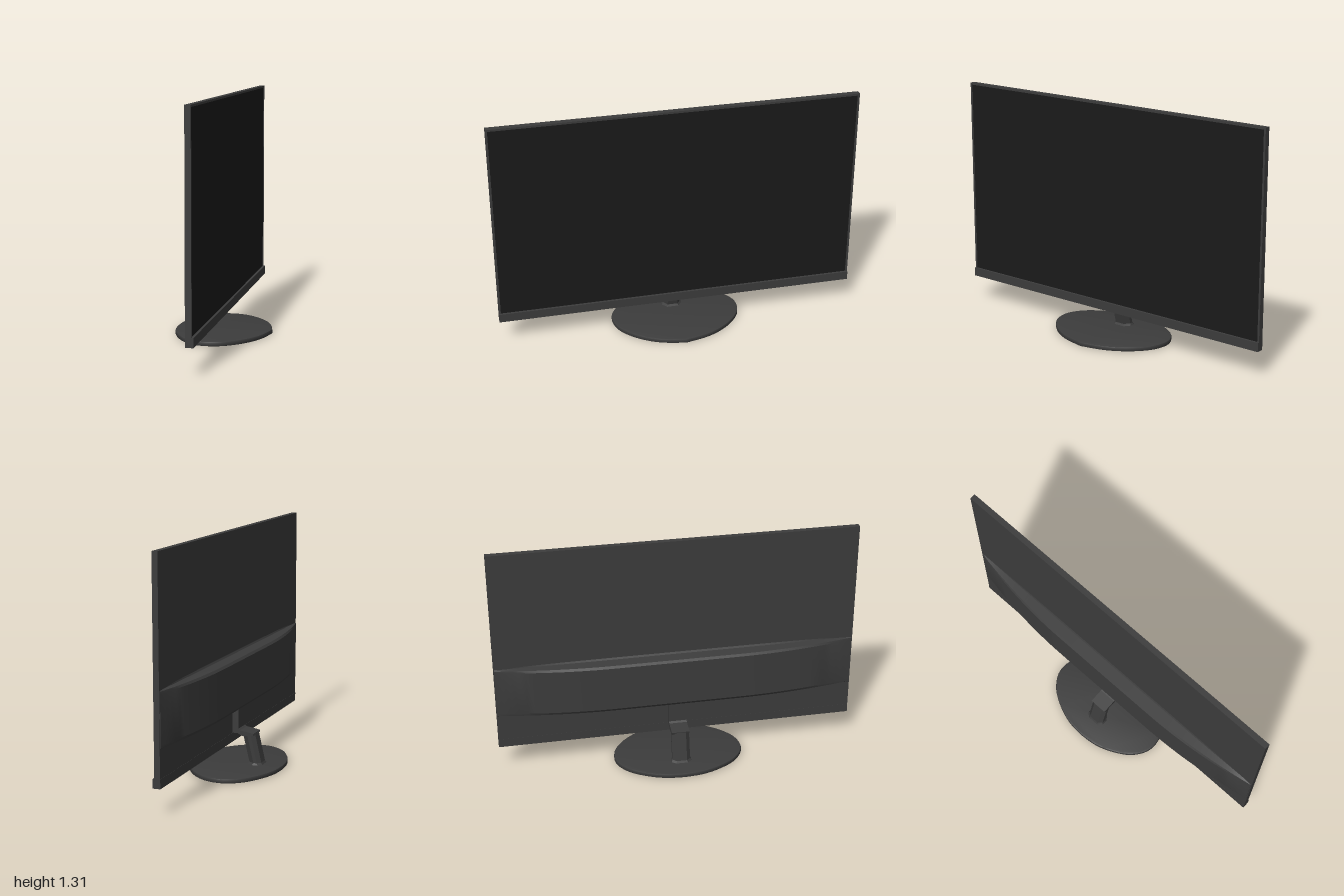
import * as THREE from 'three';
import { toCreasedNormals } from 'three/addons/utils/BufferGeometryUtils.js';

const body = new THREE.MeshStandardMaterial({ color: 0x3c3c3c });
const dark = new THREE.MeshStandardMaterial({ color: 0x1a1a1a });

function part(group, name, geometry, material = body) {
  const mesh = new THREE.Mesh(geometry, material);
  mesh.name = name;
  group.add(mesh);
  return mesh;
}

// Box given by its minimum and maximum corners
function box(x0, y0, z0, x1, y1, z1) {
  return new THREE.BoxGeometry(x1 - x0, y1 - y0, z1 - z0)
    .translate((x0 + x1) / 2, (y0 + y1) / 2, (z0 + z1) / 2);
}

// Skin a row of closed convex rings and cap both ends
function loft(rings, crease) {
  const pos = [];
  const tri = (a, b, c) => pos.push(...a, ...b, ...c);
  const n = rings[0].length;
  for (let i = 0; i < rings.length - 1; i++) {
    for (let j = 0; j < n; j++) {
      const k = (j + 1) % n;
      const [a, b, c, d] = [rings[i][j], rings[i][k], rings[i + 1][k], rings[i + 1][j]];
      tri(a, b, c);
      tri(a, c, d);
    }
  }
  const first = rings[0], last = rings[rings.length - 1];
  for (let j = 1; j < n - 1; j++) {
    tri(first[0], first[j + 1], first[j]);
    tri(last[0], last[j], last[j + 1]);
  }
  const geometry = new THREE.BufferGeometry();
  geometry.setAttribute('position', new THREE.Float32BufferAttribute(pos, 3));
  geometry.computeVertexNormals();
  return toCreasedNormals(geometry, crease);
}

// Rear housing: bulges in the middle and thins out towards both ends
function housingGeometry() {
  const section = [[0, 0.65], [0.1, 0.637], [0.87, 0.632], [1, 0.62],
    [1, 0.365], [0.87, 0.35], [0.15, 0.345], [0, 0.335]];
  const rings = [];
  const steps = 48;
  for (let i = 0; i <= steps; i++) {
    const z = -0.995 + 1.99 * i / steps;
    const u = Math.max(0, (Math.abs(z) - 0.33) / 0.67);
    const depth = 0.004 + 0.073 * (1 - u * u);
    rings.push(section.map(([k, y]) => [0.012 - depth * k, y, z]));
  }
  return loft(rings, 0.35);
}

// Leaning leg with chamfered corners and a flared foot
function legGeometry() {
  const ring = (y, xb, xf, hw) => {
    const c = hw * 0.58;
    return [[-c, xb], [c, xb], [hw, xb + 0.02], [hw, xf - 0.032],
      [c, xf], [-c, xf], [-hw, xf - 0.032], [-hw, xb + 0.02]].map(([z, x]) => [x, y, z]);
  };
  return loft([
    ring(0.02, -0.162, -0.072, 0.06),
    ring(0.036, -0.152, -0.082, 0.05),
    ring(0.197, -0.115, -0.043, 0.05),
  ], 0.3);
}

// Neck plate and the short arm that reaches back to the leg
function neckGeometry() {
  const shape = new THREE.Shape([[0.012, 0.36], [-0.025, 0.36], [-0.025, 0.222],
    [-0.035, 0.214], [-0.115, 0.201], [-0.112, 0.188], [-0.045, 0.184],
    [-0.022, 0.196], [0.012, 0.197]].map(([x, y]) => new THREE.Vector2(x, y)));
  return new THREE.ExtrudeGeometry(shape, { depth: 0.1, bevelEnabled: false })
    .translate(0, 0, -0.05);
}

// Oval foot plate, slightly pointed at the front
function baseGeometry() {
  const half = [[0.26, 0], [0.232, 0.12], [0.195, 0.2], [0.125, 0.288], [0.04, 0.345],
    [-0.06, 0.354], [-0.15, 0.3], [-0.215, 0.2], [-0.25, 0.1], [-0.26, 0]];
  const upper = new THREE.CatmullRomCurve3(half.map(([x, y]) => new THREE.Vector3(x, y, 0)))
    .getPoints(40).map(p => new THREE.Vector2(p.x, p.y));
  const lower = upper.slice(1, -1).reverse().map(p => new THREE.Vector2(p.x, -p.y));
  const geometry = new THREE.ExtrudeGeometry(new THREE.Shape([...upper, ...lower]), {
    depth: 0.013, bevelThickness: 0.006, bevelSize: 0.006, bevelSegments: 2,
  });
  geometry.rotateX(-Math.PI / 2).translate(0, 0.006, 0);
  return toCreasedNormals(geometry, 0.6);
}

export function createModel() {
  const model = new THREE.Group();
  model.name = 'monitor';

  // Display panel with thin frame
  const display = new THREE.Group();
  display.name = 'display';
  model.add(display);
  part(display, 'backPanel', box(0.01, 0.16, -1, 0.034, 1.31, 1));
  part(display, 'screen', box(0.03, 0.19, -0.989, 0.037, 1.3, 0.989), dark);
  part(display, 'topFrame', box(0.034, 1.299, -1, 0.041, 1.31, 1));
  for (const side of [-1, 1]) {
    part(display, side > 0 ? 'leftFrame' : 'rightFrame',
      box(0.034, 0.19, side * 0.9945 - 0.0055, 0.041, 1.299, side * 0.9945 + 0.0055));
  }
  part(display, 'bottomBezel', box(0.009, 0.146, -1, 0.05, 0.195, 1));
  part(display, 'rearHousing', housingGeometry());

  // Stand
  const stand = new THREE.Group();
  stand.name = 'stand';
  model.add(stand);
  part(stand, 'neck', neckGeometry());
  part(stand, 'leg', legGeometry());
  part(stand, 'base', baseGeometry());

  return model;
}
